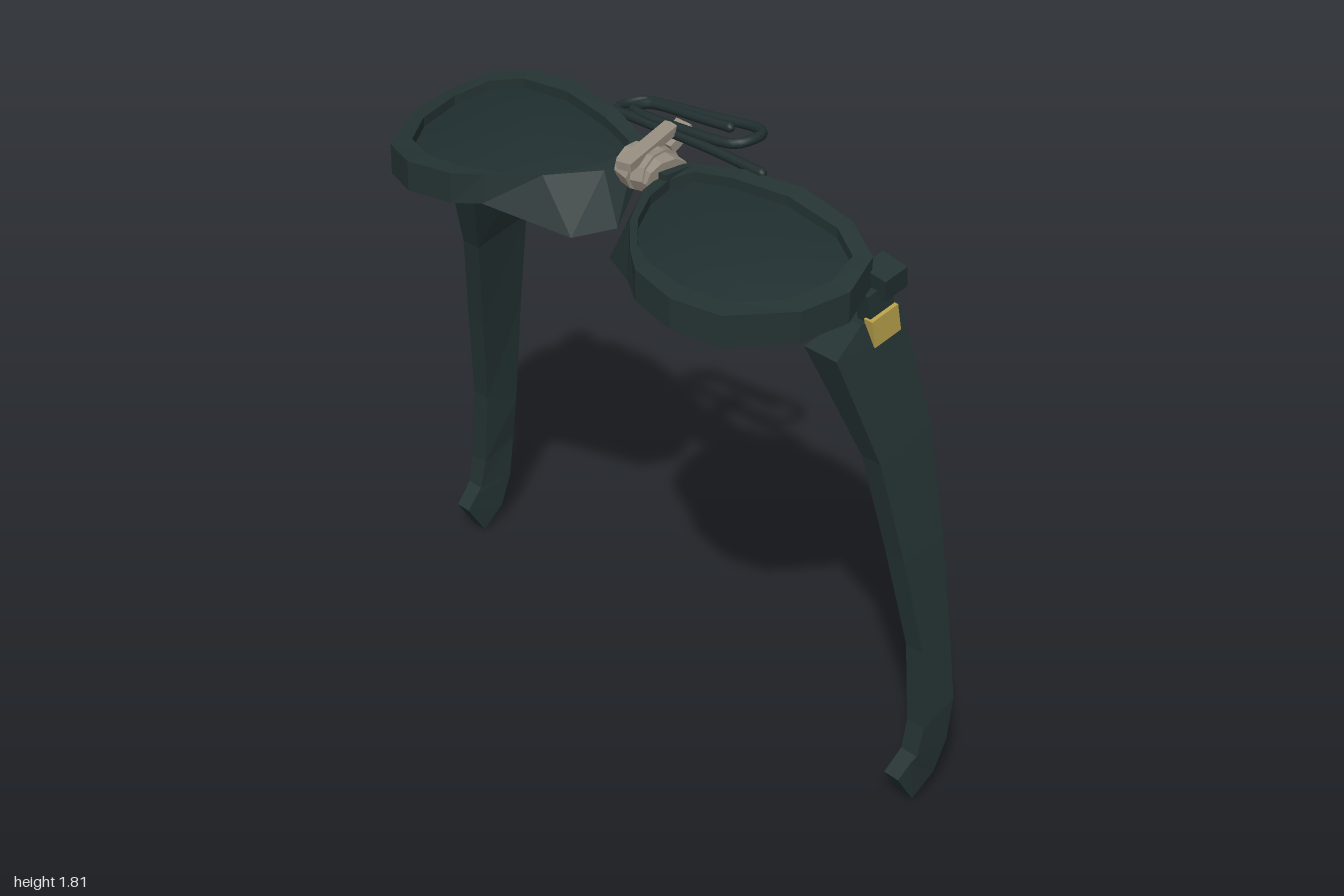
import * as THREE from 'three';
import { mergeVertices } from 'three/addons/utils/BufferGeometryUtils.js';

const mat = (name, color, opts = {}) => {
  const m = new THREE.MeshStandardMaterial({ color, ...opts });
  m.name = name;
  return m;
};

// Skin a list of cross-sections; ring = join last to first, otherwise cap the ends
function loft(sections, ring, side = 1) {
  const tris = [];
  const n = sections[0].length;
  const last = ring ? sections.length : sections.length - 1;
  for (let i = 0; i < last; i++) {
    const a = sections[i], b = sections[(i + 1) % sections.length];
    for (let j = 0; j < n; j++) {
      const k = (j + 1) % n;
      tris.push([a[j], b[j], b[k]], [a[j], b[k], a[k]]);
    }
  }
  if (!ring) {
    const a = sections[0], b = sections[sections.length - 1];
    for (let j = 1; j < n - 1; j++) tris.push([a[0], a[j], a[j + 1]], [b[0], b[j + 1], b[j]]);
  }
  const mirrored = tris.map(t => t.map(p => new THREE.Vector3(p[0] * side, p[1], p[2])));
  // Signed volume tells whether the faces point outwards
  let volume = 0;
  const c = new THREE.Vector3();
  for (const [p, q, r] of mirrored) volume += p.dot(c.crossVectors(q, r));
  const pts = mirrored.flatMap(([p, q, r]) => (volume < 0 ? [p, r, q] : [p, q, r]));
  const g = new THREE.BufferGeometry().setFromPoints(pts);
  g.computeVertexNormals();
  return g;
}

// Height of the front of the frame, bowed sideways and tilted up at the brow
const frameY = (x, z) => 1.73 - 0.33 * (x - 0.38) ** 2 - 0.155 * z;

// Rim stations: outer x, z, inner x, z, then optional flared lower edge x, z, y
const RIM = [
  [0.08, -0.15, 0.13, -0.12],
  [0.26, -0.19, 0.26, -0.145],
  [0.46, -0.22, 0.45, -0.17],
  [0.65, -0.21, 0.64, -0.165],
  [0.78, -0.155, 0.74, -0.12],
  [0.83, -0.02, 0.77, -0.01],
  [0.80, 0.13, 0.74, 0.13],
  [0.68, 0.30, 0.65, 0.245],
  [0.54, 0.35, 0.52, 0.29],
  [0.38, 0.325, 0.38, 0.275],
  [0.30, 0.27, 0.29, 0.235, 0.30, 0.28, 1.60],
  [0.18, 0.16, 0.19, 0.14, 0.08, 0.145, 1.53],
  [0.08, 0.02, 0.12, 0.03, 0.015, 0.03, 1.545],
  [0.06, -0.07, 0.10, -0.06, 0.05, -0.07, 1.63],
];

// Temple stations: front z, y, back z, y, inner x, outer x
const TEMPLE = [
  [-0.11, 1.515, -0.262, 1.525, 0.73, 0.79],
  [0.0, 1.455, -0.268, 1.46, 0.69, 0.81],
  [-0.115, 1.12, -0.31, 1.17, 0.81, 0.88],
  [-0.17, 0.81, -0.325, 0.83, 0.865, 0.935],
  [-0.22, 0.50, -0.34, 0.45, 0.915, 0.98],
  [-0.22, 0.25, -0.34, 0.30, 0.935, 1.0],
  [-0.20, 0.16, -0.325, 0.16, 0.937, 0.997],
  [-0.18, 0.14, -0.285, 0.06, 0.935, 0.99],
  [-0.14, 0.10, -0.205, 0.0, 0.93, 0.985],
];

export function createModel() {
  const model = new THREE.Group();
  model.name = 'sunglasses';
  const dark = mat('dark frame', 0x243232, { flatShading: true });
  const lensMat = mat('dark lens', 0x202e2f, { side: THREE.DoubleSide });
  const wire = mat('dark wire', 0x212e2f);
  const gold = mat('brass', 0xb8a04a, { flatShading: true });
  const tape = mat('grey tape', 0x968d80, { flatShading: true });

  const add = (name, geometry, material, pos = [0, 0, 0], rot = [0, 0, 0]) => {
    const m = new THREE.Mesh(geometry, material);
    m.name = name;
    m.position.set(...pos);
    m.rotation.set(...rot);
    model.add(m);
    return m;
  };
  const box = (...size) => new THREE.BoxGeometry(...size);

  for (const s of [1, -1]) {
    const label = s > 0 ? 'left' : 'right';

    // Rim with the nose pad flaring from its lower inner corner
    const rim = RIM.map(([ox, oz, ix, iz, bx = ox, bz = oz, by]) => [
      [ox, frameY(ox, oz), oz],
      [ix, frameY(ix, iz) - 0.005, iz],
      [ix, frameY(ix, iz) - 0.085, iz],
      [bx, by ?? frameY(ox, oz) - 0.092, bz],
    ]);
    add(label + 'Rim', loft(rim, true, s), dark);

    // Slightly domed lens made of shrinking loops
    const loops = [1, 0.7, 0.4, 0.01].map(k => RIM.map(([, , ix, iz]) => {
      const x = 0.45 + (ix - 0.45) * k, z = 0.05 + (iz - 0.05) * k;
      return [x, frameY(x, z) - 0.035 + 0.015 * (1 - k * k), z];
    }));
    const lens = loft(loops, false, s);
    // Drop the rim-side cap, keeping only the curved skin
    const skin = new THREE.BufferGeometry();
    const count = RIM.length * 2 * 3 * 3;
    skin.setAttribute('position', new THREE.BufferAttribute(
      lens.attributes.position.array.slice(0, count * 3), 3));
    const smooth = mergeVertices(skin, 1e-4);
    smooth.computeVertexNormals();
    add(label + 'Lens', smooth, lensMat);

    // End piece and hinge
    add(label + 'EndPiece', box(0.09, 0.07, 0.085), dark, [s * 0.79, 1.635, -0.19], [0.2, 0, -s * 0.15]);
    add(label + 'HingeBlock', box(0.05, 0.11, 0.09), dark, [s * 0.78, 1.56, -0.17], [0.2, 0, 0]);
    add(label + 'HingePlate', box(0.03, 0.085, 0.1), gold, [s * 0.803, 1.5, -0.18], [0.2, 0, 0]);

    // Temple arm with hooked tip
    const arm = TEMPLE.map(([fz, fy, bz, by, xi, xo]) => [
      [xi, fy, fz], [xo, fy, fz], [xo, by, bz], [xi, by, bz],
    ]);
    add(label + 'Temple', loft(arm, false, s), dark);
  }

  // Bridge hidden under the tape
  add('bridge', box(0.2, 0.06, 0.09), dark, [0, 1.695, -0.09]);

  // Tape wound round the bridge in uneven bands
  const wraps = [[-0.05, 0.9, 0.12], [-0.015, 1.05, -0.1], [0.02, 1, 0.14], [0.05, 0.9, -0.08]];
  wraps.forEach(([x, k, tilt], i) => {
    const g = new THREE.CylinderGeometry(1, 1, 0.045, 10).rotateZ(Math.PI / 2).scale(1, 0.06 * k, 0.085 * k);
    add('tapeWrap' + (i + 1), g, tape, [x, 1.7, -0.08], [0, tilt, tilt]);
  });
  add('tapeStrap', box(0.048, 0.025, 0.25), tape, [-0.02, 1.757, -0.09], [0.1, 0.25, 0]);
  add('tapeEnd', box(0.06, 0.03, 0.09), tape, [-0.06, 1.73, -0.23], [0.5, 0, 0]);

  // Bent paper clip pinned behind the bridge
  const clip = [
    [0.31, 1.757, -0.205], [0.1, 1.757, -0.205], [-0.22, 1.745, -0.2], [-0.275, 1.74, -0.205],
    [-0.298, 1.737, -0.25], [-0.27, 1.74, -0.31], [-0.2, 1.748, -0.322], [0.0, 1.772, -0.336],
    [0.15, 1.79, -0.345], [0.19, 1.793, -0.325], [0.197, 1.793, -0.27], [0.18, 1.788, -0.235],
    [0.13, 1.782, -0.222], [-0.05, 1.768, -0.212], [-0.2, 1.757, -0.215], [-0.243, 1.75, -0.24],
    [-0.235, 1.75, -0.285], [-0.19, 1.755, -0.296], [-0.05, 1.768, -0.3], [0.08, 1.78, -0.306],
  ].map(p => new THREE.Vector3(...p));
  const path = new THREE.CatmullRomCurve3(clip);
  add('paperClip', new THREE.TubeGeometry(path, 120, 0.015, 8), wire);
  for (const [i, p] of [clip[0], clip[clip.length - 1]].entries()) {
    add('clipEnd' + (i + 1), new THREE.SphereGeometry(0.015, 8, 6), wire, p.toArray());
  }
  return model;
}
